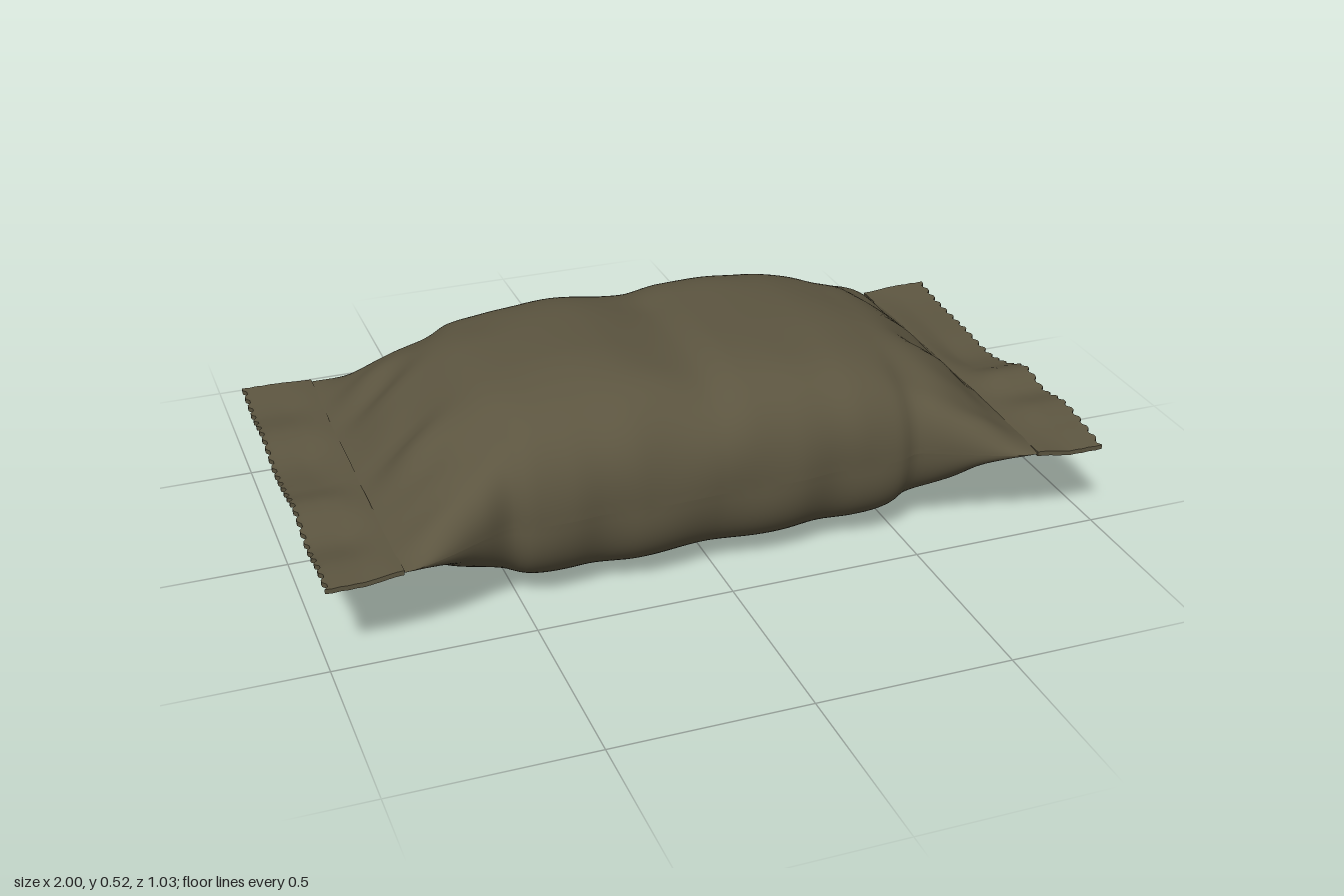
import * as THREE from 'three';

// Smooth curve through [x, y] points, evaluated at x
function profile(pts) {
  const slope = (i) => {
    const a = pts[Math.max(i - 1, 0)], b = pts[Math.min(i + 1, pts.length - 1)];
    return (b[1] - a[1]) / (b[0] - a[0]);
  };
  return (x) => {
    let i = 0;
    while (i < pts.length - 2 && x > pts[i + 1][0]) i++;
    const [x0, y0] = pts[i], [x1, y1] = pts[i + 1];
    const h = x1 - x0, t = THREE.MathUtils.clamp((x - x0) / h, 0, 1), s = 1 - t;
    return y0 * (1 + 2 * t) * s * s + slope(i) * h * t * s * s
      + y1 * t * t * (3 - 2 * t) - slope(i + 1) * h * t * t * s;
  };
}

const SEAM_Y = 0.245;
const BODY_END = 0.82;

// Outline of the filled pouch along its length
const topY = profile([[-0.82, 0.253], [-0.78, 0.285], [-0.7, 0.36], [-0.6, 0.44], [-0.52, 0.485], [-0.42, 0.505],
  [-0.2, 0.52], [0, 0.497], [0.1, 0.512], [0.35, 0.502], [0.5, 0.47], [0.6, 0.44], [0.7, 0.365], [0.78, 0.285], [0.82, 0.253]]);
const bottomY = profile([[-0.82, 0.237], [-0.78, 0.205], [-0.7, 0.13], [-0.6, 0.07], [-0.47, 0.022], [-0.3, 0.008],
  [0, 0.013], [0.2, 0.008], [0.4, 0.014], [0.5, 0.028], [0.6, 0.068], [0.7, 0.13], [0.78, 0.205], [0.82, 0.237]]);
const halfWidth = profile([[0, 0.43], [0.2, 0.437], [0.3, 0.425], [0.38, 0.432], [0.48, 0.428], [0.53, 0.41],
  [0.6, 0.437], [0.7, 0.482], [0.78, 0.51], [0.82, 0.515]]);

// Soft dents in the wrapper: x, z, radius, height
const dents = [[-0.3, 0.1, 0.14, 0.008], [0.02, -0.15, 0.1, -0.009], [0.3, 0.18, 0.12, -0.008],
  [-0.1, 0.28, 0.09, 0.008], [0.22, -0.25, 0.12, 0.008], [-0.45, -0.22, 0.1, -0.01],
  [0.48, 0.02, 0.09, 0.008], [-0.58, 0.3, 0.07, -0.02], [0.57, 0.31, 0.07, -0.022],
  [0.58, -0.3, 0.07, -0.018], [-0.57, -0.31, 0.07, -0.016]];

// One half of the pouch: side = 1 is the upper shell, -1 the lower
function shell(side) {
  const geo = new THREE.PlaneGeometry(2, 2, 110, 60);
  const pos = geo.attributes.position;
  for (let i = 0; i < pos.count; i++) {
    const x = pos.getX(i) * BODY_END;
    const ang = (1 - pos.getY(i)) * Math.PI / 2;
    const c = Math.cos(ang), s = Math.max(Math.sin(ang), 0);
    // Boxy section in the middle, lens-like at the ends
    const end = THREE.MathUtils.smoothstep(Math.abs(x), 0.45, BODY_END);
    const spread = Math.sign(c) * Math.pow(Math.abs(c), 2 / (3.4 - end));
    const rise = Math.pow(s, 2 / (2.5 - 0.7 * end));
    let z = -side * spread * halfWidth(Math.abs(x));
    const edge = side > 0 ? topY(x) : bottomY(x);
    let y = SEAM_Y + (edge - SEAM_Y) * rise;
    // Gathered folds running in from each sealed end
    const fold = Math.exp(-Math.pow((Math.abs(x) - 0.7) / 0.08, 2)) * rise;
    y += fold * (0.011 * Math.sin(z * 25 + x * 4) + 0.006 * Math.sin(z * 43 + 1));
    // Rumples on the faces and along the side walls
    if (side > 0) {
      for (const [dx, dz, r, h] of dents)
        y += h * rise * Math.exp(-((x - dx) ** 2 + (z - dz) ** 2) / (r * r));
    }
    const wall = s * (1 - s) * 4 * (1 - end);
    z += Math.sign(z) * wall * 0.005 * Math.sin(x * 21 + side);
    pos.setXYZ(i, x, Math.max(y, 0.002), z);
  }
  geo.computeVertexNormals();
  return geo;
}

// Flat crimped strip beyond the pouch, bent along a wave with a serrated edge
function sealStrip(dir, wave) {
  const length = 0.185;
  const geo = new THREE.BoxGeometry(length, 0.012, 1.03, 10, 1, 104);
  const pos = geo.attributes.position;
  for (let i = 0; i < pos.count; i++) {
    const t = pos.getX(i) * dir / length + 0.5;
    const z = pos.getZ(i);
    const tooth = Math.round((z + 0.515) / 1.03 * 104) % 4 < 2 ? 0 : 0.009;
    const x = dir * (0.815 + t * length - (t > 0.99 ? tooth : 0));
    const bend = THREE.MathUtils.smoothstep(t, 0, 0.55);
    const crimp = 0.0015 * Math.sin(t * 32) * bend;
    pos.setXYZ(i, x, SEAM_Y + pos.getY(i) + wave(z) * bend + crimp, z);
  }
  geo.computeVertexNormals();
  return geo;
}

export function createModel() {
  const group = new THREE.Group();
  group.name = 'sealedPouch';
  const foil = new THREE.MeshStandardMaterial({ color: 0x5c5540, side: THREE.DoubleSide });
  foil.name = 'olive drab foil';

  const add = (name, geometry) => {
    const mesh = new THREE.Mesh(geometry, foil);
    mesh.name = name;
    group.add(mesh);
  };

  // Filled pouch
  add('upperShell', shell(1));
  add('lowerShell', shell(-1));

  // End seals
  add('leftSeal', sealStrip(1, profile([[-0.52, 0.008], [-0.4, -0.008], [-0.22, -0.018], [-0.08, -0.028],
    [0.02, -0.01], [0.12, 0.024], [0.22, 0.004], [0.32, 0.018], [0.42, 0.004], [0.52, -0.015]])));
  add('rightSeal', sealStrip(-1, profile([[-0.52, 0.005], [-0.38, -0.012], [-0.25, -0.002], [-0.1, -0.026],
    [0.05, -0.012], [0.15, 0.005], [0.3, -0.022], [0.42, -0.008], [0.52, -0.012]])));

  return group;
}
